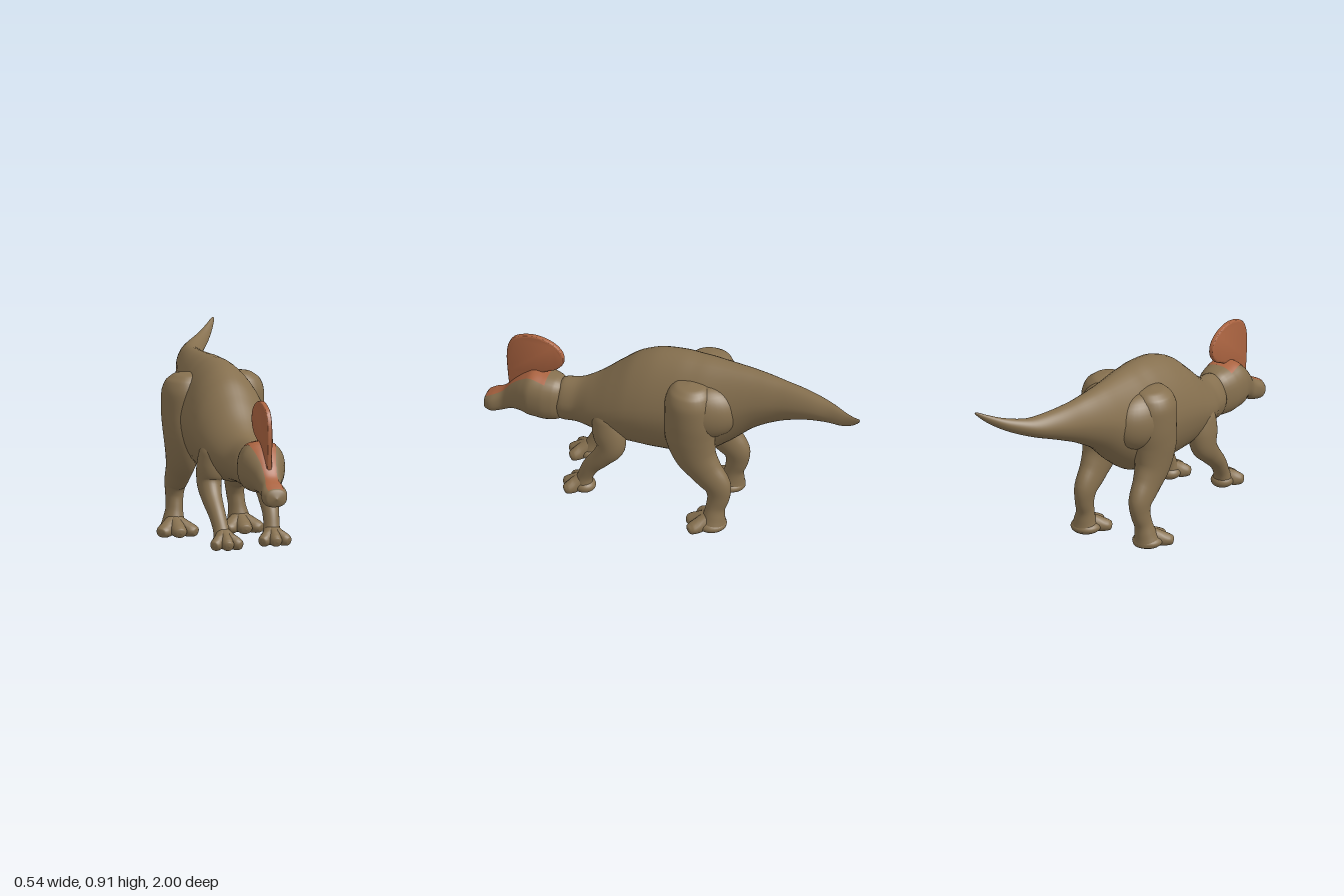
import * as THREE from 'three';
import { toCreasedNormals } from 'three/addons/utils/BufferGeometryUtils.js';

const skin = new THREE.MeshStandardMaterial({ color: 0x86704f });
skin.name = 'brown skin';
const orange = new THREE.MeshStandardMaterial({ color: 0xaa6340 });
orange.name = 'orange crest';

// Smooth loft through rows [x, y, z, halfWidth, halfHeight].
// upright: sections stay in the xy plane (rows run towards +z), otherwise they follow the path.
// arc(u): half angle of an open strip around the top; egg: narrows the upper half;
// power: below 1 squares the section off.
function loft(rows, { upright = false, from = 0, to = 1, arc = null, grow = 0, egg = 0, power = 1, steps = 48, sides = 32 } = {}) {
  const path = new THREE.CatmullRomCurve3(rows.map(r => new THREE.Vector3(r[0], r[1], r[2])));
  const size = new THREE.CatmullRomCurve3(rows.map(r => new THREE.Vector3(r[3], r[4], 0)));
  const bend = v => Math.sign(v) * Math.abs(v) ** power;
  const pos = [], idx = [];
  const ring = arc ? sides + 1 : sides;
  for (let i = 0; i <= steps; i++) {
    const u = from + (to - from) * i / steps;
    const p = path.getPoint(u), s = size.getPoint(u), t = path.getTangent(u);
    const X = new THREE.Vector3(1, 0, 0), U = new THREE.Vector3(0, 1, 0);
    if (!upright) {
      X.addScaledVector(t, -t.x).normalize();
      U.crossVectors(t, X);
    }
    for (let j = 0; j < ring; j++) {
      const k = j / sides;
      const th = arc ? Math.PI / 2 + (2 * k - 1) * arc(u) : k * Math.PI * 2;
      const taper = 1 - egg * Math.max(0, Math.sin(th));
      const v = p.clone()
        .addScaledVector(X, bend(Math.cos(th)) * taper * (Math.max(s.x, 0) + grow))
        .addScaledVector(U, bend(Math.sin(th)) * (Math.max(s.y, 0) + grow));
      pos.push(v.x, v.y, v.z);
    }
  }
  for (let i = 0; i < steps; i++) for (let j = 0; j < sides; j++) {
    const n = (j + 1) % ring;
    const a = i * ring + j, b = i * ring + n, c = a + ring, d = b + ring;
    idx.push(a, b, c, b, d, c);
  }
  const g = new THREE.BufferGeometry();
  g.setAttribute('position', new THREE.Float32BufferAttribute(pos, 3));
  g.setIndex(idx);
  g.computeVertexNormals();
  return g;
}

function add(parent, name, geometry, material = skin) {
  const m = new THREE.Mesh(geometry, material);
  m.name = name;
  parent.add(m);
  return m;
}

function ball(parent, name, position, scale) {
  const m = add(parent, name, new THREE.SphereGeometry(1, 32, 20));
  m.position.set(...position);
  m.scale.set(...scale);
  return m;
}

// Rounded heel pad with three toes sloping down and out of the ankle
function foot(parent, name, x, y, z, { pad, spread, reach, rise, thick }) {
  ball(parent, name + 'Pad', [x, y + 0.035, z], [pad, 0.035, pad]);
  for (const turn of [-spread, 0, spread]) {
    const at = (d, h, a, b) => [x + Math.sin(turn) * d, y + h, z + Math.cos(turn) * d, a, b];
    add(parent, name + 'Toe', loft([
      at(-0.015, rise, 0, 0),
      at(0, rise * 0.8, 0.032, 0.03),
      at(reach * 0.45, 0.042, thick, 0.037),
      at(reach * 0.8, 0.03, thick * 0.95, 0.029),
      at(reach * 0.96, 0.027, thick * 0.62, 0.02),
      at(reach, 0.026, 0, 0),
    ], { steps: 24, sides: 18 }));
  }
}

export function createModel() {
  const model = new THREE.Group();
  model.name = 'crestedDinosaur';

  // Tail, trunk and neck
  add(model, 'body', loft([
    [0.257, 0.908, -1.0, 0, 0],
    [0.25, 0.9, -0.99, 0.009, 0.009],
    [0.22, 0.868, -0.95, 0.02, 0.02],
    [0.165, 0.826, -0.88, 0.037, 0.032],
    [0.095, 0.79, -0.78, 0.053, 0.047],
    [0.05, 0.767, -0.66, 0.066, 0.072],
    [0.02, 0.738, -0.52, 0.08, 0.106],
    [0.004, 0.7, -0.38, 0.107, 0.153],
    [0, 0.645, -0.25, 0.14, 0.215],
    [0, 0.603, -0.12, 0.174, 0.263],
    [0, 0.592, 0, 0.187, 0.273],
    [0, 0.58, 0.12, 0.195, 0.266],
    [0, 0.556, 0.23, 0.194, 0.24],
    [0, 0.518, 0.33, 0.178, 0.194],
    [0, 0.482, 0.43, 0.145, 0.142],
    [0, 0.455, 0.52, 0.102, 0.115],
    [0.006, 0.445, 0.6, 0.088, 0.112],
    [0.01, 0.445, 0.66, 0, 0],
  ], { upright: true, egg: 0.16, steps: 90, sides: 40 }));

  // Head with flat brow, narrow snout and rounded muzzle
  const headRows = [
    [0.012, 0.443, 0.585, 0, 0],
    [0.012, 0.443, 0.6, 0.074, 0.1],
    [0.012, 0.445, 0.63, 0.092, 0.114],
    [0.012, 0.447, 0.68, 0.106, 0.12],
    [0.012, 0.452, 0.74, 0.109, 0.121],
    [0.012, 0.442, 0.79, 0.094, 0.102],
    [0.012, 0.41, 0.85, 0.066, 0.078],
    [0.012, 0.366, 0.9, 0.052, 0.06],
    [0.012, 0.345, 0.95, 0.062, 0.053],
    [0.012, 0.338, 0.985, 0.048, 0.039],
    [0.012, 0.336, 1.0, 0, 0],
  ];
  add(model, 'head', loft(headRows, { upright: true, power: 0.84, steps: 70 }));

  // Coloured strip down the forehead and snout
  add(model, 'foreheadStripe', loft(headRows, {
    upright: true, power: 0.84, from: 0.28, to: 0.885, grow: 0.003, steps: 40, sides: 16,
    arc: u => 0.68 - 0.19 * Math.sin(Math.PI * (u - 0.28) / 0.605),
  }), orange);

  // Flat round crest with a soft rim, drawn with z as the first axis
  const outline = new THREE.Shape();
  outline.moveTo(0.865, 0.44);
  outline.splineThru([
    [0.874, 0.53], [0.879, 0.62], [0.869, 0.69], [0.833, 0.737], [0.75, 0.76],
    [0.667, 0.744], [0.615, 0.703], [0.607, 0.65], [0.642, 0.606], [0.7, 0.577], [0.74, 0.54],
  ].map(p => new THREE.Vector2(...p)));
  outline.lineTo(0.78, 0.48);
  const crest = new THREE.ExtrudeGeometry(outline, {
    depth: 0.006, bevelThickness: 0.01, bevelSize: 0.011, bevelOffset: -0.003, bevelSegments: 5, curveSegments: 48,
  });
  crest.translate(0, 0, -0.003).rotateY(-Math.PI / 2);
  add(model, 'crest', toCreasedNormals(crest, 0.7), orange).position.x = 0.01;

  for (const s of [-1, 1]) {
    const side = s > 0 ? 'left' : 'right';
    const ahead = s > 0 ? 0 : 1;   // the right legs step slightly forward

    // Hind leg, its thigh sunk into the hip
    const hind = new THREE.Group();
    hind.name = side + 'HindLeg';
    add(hind, 'hindLimb', loft([
      [0.13, 0.795, -0.09, 0, 0],
      [0.13, 0.785, -0.09, 0.058, 0.07],
      [0.13, 0.755, -0.09, 0.095, 0.102],
      [0.134, 0.69, -0.09, 0.113, 0.122],
      [0.138, 0.6, -0.092, 0.109, 0.125],
      [0.142, 0.5, -0.093, 0.097, 0.123],
      [0.146, 0.4, -0.12, 0.077, 0.108],
      [0.147, 0.32, -0.175, 0.06, 0.085],
      [0.149, 0.25, -0.232, 0.05, 0.07],
      [0.152, 0.19, -0.24, 0.042, 0.055],
      [0.157, 0.13, -0.228, 0.041, 0.047],
      [0.163, 0.075, -0.222, 0.052, 0.054],
      [0.166, 0.03, -0.218, 0.066, 0.064],
      [0.166, 0.012, -0.218, 0, 0],
    ].map(([x, y, z, a, b]) => [s * x, y, z + ahead * 0.035 * Math.max(0, 0.6 - y) / 0.6, a, b]), { steps: 60 }));
    foot(hind, 'hindFoot', s * 0.165, 0.002, -0.21 + ahead * 0.035, { pad: 0.073, spread: 0.8, reach: 0.125, rise: 0.1, thick: 0.038 });
    // haunch easing the thigh into the tail root
    ball(hind, 'haunch', [s * 0.105, 0.64, -0.165], [0.105, 0.14, 0.16]).rotation.y = s * 0.35;
    model.add(hind);

    // Front leg, its shoulder sunk into the chest
    const front = new THREE.Group();
    front.name = side + 'FrontLeg';
    add(front, 'frontLimb', loft([
      [0.12, 0.53, 0.335, 0, 0],
      [0.12, 0.515, 0.335, 0.04, 0.045],
      [0.122, 0.47, 0.335, 0.06, 0.075],
      [0.132, 0.4, 0.322, 0.064, 0.082],
      [0.142, 0.33, 0.31, 0.058, 0.07],
      [0.147, 0.265, 0.347, 0.049, 0.051],
      [0.145, 0.19, 0.408, 0.04, 0.041],
      [0.142, 0.13, 0.436, 0.038, 0.037],
      [0.14, 0.08, 0.447, 0.046, 0.044],
      [0.14, 0.06, 0.448, 0.048, 0.048],
      [0.14, 0.045, 0.448, 0, 0],
    ].map(([x, y, z, a, b]) => {
      const k = ahead * Math.max(0, 0.45 - y) / 0.4;
      return [s * (x - 0.025 * k), y, z + 0.07 * k, a, b];
    }), { steps: 50 }));
    foot(front, 'frontFoot', s * (0.14 - ahead * 0.025), 0.034, 0.444 + ahead * 0.07, { pad: 0.055, spread: 0.72, reach: 0.104, rise: 0.095, thick: 0.03 });
    model.add(front);
  }
  return model;
}
